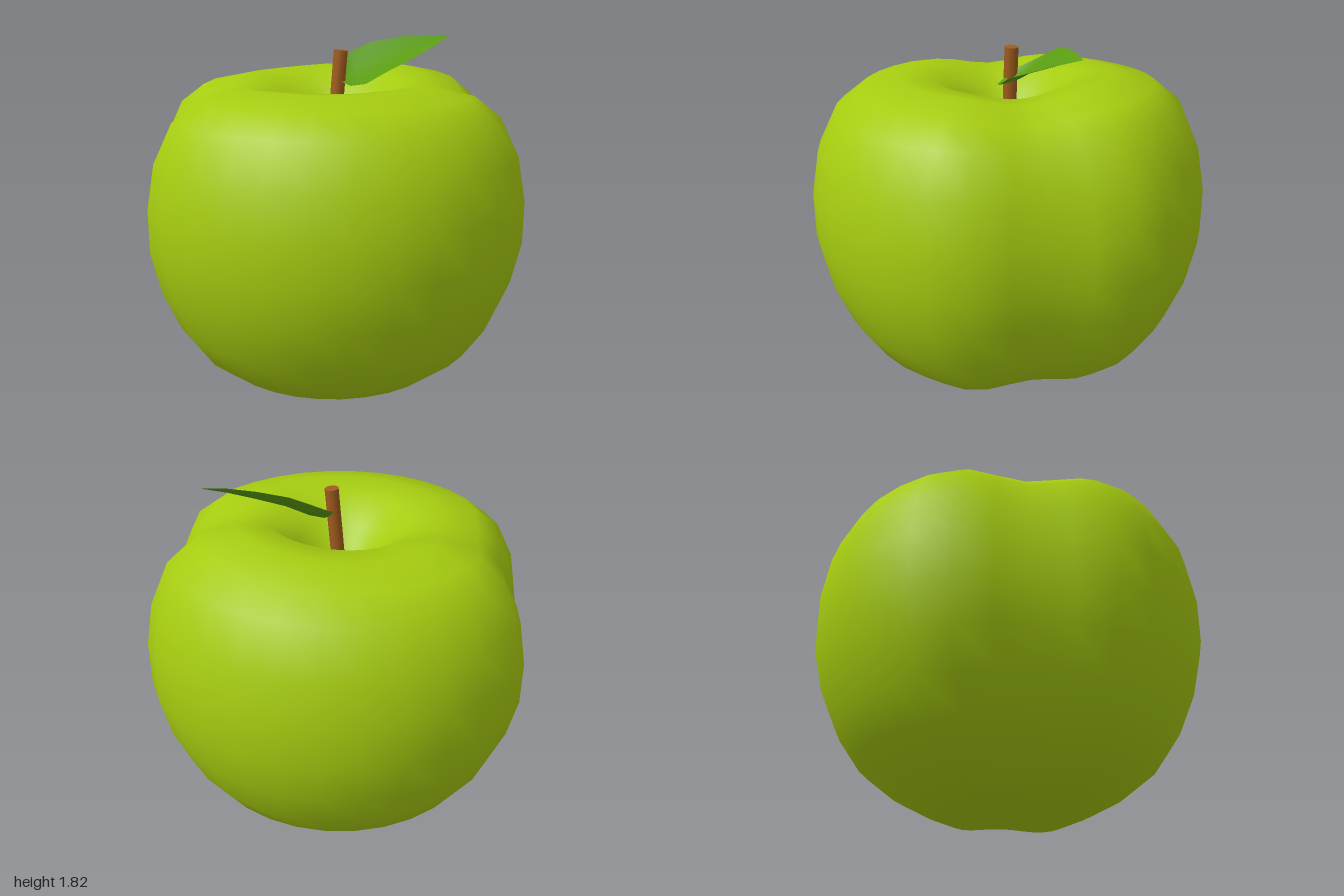
import * as THREE from 'three';
import { mergeVertices } from 'three/addons/utils/BufferGeometryUtils.js';

const skin = new THREE.MeshStandardMaterial({ color: 0xa6cc10 });
skin.name = 'apple green';
const bark = new THREE.MeshStandardMaterial({ color: 0xa05c1e });
bark.name = 'stem brown';
const foliage = new THREE.MeshStandardMaterial({ color: 0x5a9c12, side: THREE.DoubleSide });
foliage.name = 'leaf green';

function part(name, geometry, material) {
  const mesh = new THREE.Mesh(geometry, material);
  mesh.name = name;
  return mesh;
}

// Join seams so that normals are smooth all round
function smooth(geometry) {
  geometry.deleteAttribute('normal');
  geometry.deleteAttribute('uv');
  const merged = mergeVertices(geometry, 1e-4);
  merged.computeVertexNormals();
  return merged;
}

// Turned fruit with a stem hollow, pressed in along one vertical plane
function bodyGeometry() {
  const profile = [
    [0, 0.04], [0.15, 0.022], [0.29, 0], [0.44, 0.064], [0.6, 0.15], [0.75, 0.27],
    [0.86, 0.43], [0.947, 0.636], [0.995, 0.85], [0.995, 1.07], [0.955, 1.29],
    [0.86, 1.48], [0.73, 1.58], [0.53, 1.625], [0.36, 1.605], [0.22, 1.5],
    [0.12, 1.37], [0.05, 1.28], [0, 1.26],
  ].map(([r, y]) => new THREE.Vector2(r, y));
  const geometry = new THREE.LatheGeometry(profile, 32);
  const pos = geometry.attributes.position;
  const v = new THREE.Vector3();
  const core = new THREE.Vector3(0, 0.85, 0);
  const grooveAngle = Math.PI / 16;
  for (let i = 0; i < pos.count; i++) {
    v.fromBufferAttribute(pos, i);
    const r = Math.hypot(v.x, v.z);
    const angle = Math.atan2(v.z, v.x);
    // Groove down both sides and under the base
    const distance = Math.abs(v.z * Math.cos(grooveAngle) - v.x * Math.sin(grooveAngle));
    const t = Math.min(1, distance / (0.2 + 0.26 * r));
    const press = (0.01 + 0.1 * r) * Math.cos(t * Math.PI / 2) ** 2;
    // Shoulder slightly raised on one side
    const side = Math.max(0, Math.cos(angle + Math.PI / 6)) ** 2;
    const lift = 0.03 * side * THREE.MathUtils.smoothstep(v.y, 1.25, 1.55) * Math.min(1, r / 0.4);
    v.lerp(core, press);
    pos.setXYZ(i, v.x, v.y + lift, v.z);
  }
  return smooth(geometry);
}

// Cupped blade lofted between its front and back edges
function leafGeometry() {
  // x, front y, front z, back y, back z
  const stations = [
    [0.035, 1.615, 0.035, 1.66, -0.03],
    [0.07, 1.6, 0.085, 1.705, -0.12],
    [0.14, 1.61, 0.11, 1.745, -0.147],
    [0.25, 1.665, 0.107, 1.79, -0.148],
    [0.4, 1.72, 0.065, 1.815, -0.125],
    [0.53, 1.77, 0.01, 1.824, -0.097],
    [0.65, 1.815, -0.063, 1.817, -0.067],
  ];
  const across = 6;
  const points = [];
  const index = [];
  stations.forEach(([x, fy, fz, by, bz], i) => {
    const width = Math.hypot(by - fy, bz - fz);
    for (let j = 0; j <= across; j++) {
      const s = j / across;
      const sag = 0.12 * width * Math.sin(Math.PI * s);
      points.push(x + sag * 0.4, fy + (by - fy) * s - sag * 0.8, fz + (bz - fz) * s - sag * 0.4);
      if (i > 0 && j > 0) {
        const d = i * (across + 1) + j;
        const b = d - across - 1;
        index.push(b - 1, d - 1, d, b - 1, d, b);
      }
    }
  });
  const geometry = new THREE.BufferGeometry();
  geometry.setAttribute('position', new THREE.Float32BufferAttribute(points, 3));
  geometry.setIndex(index);
  geometry.computeVertexNormals();
  return geometry;
}

export function createModel() {
  const group = new THREE.Group();
  group.name = 'apple';
  group.add(part('body', bodyGeometry(), skin));

  // Stem leans a little to the side
  const stem = part('stem', new THREE.CylinderGeometry(0.035, 0.035, 0.53, 10), bark);
  stem.position.set(0.02, 1.505, 0);
  stem.rotation.z = -0.085;
  group.add(stem);

  group.add(part('leaf', leafGeometry(), foliage));
  return group;
}
